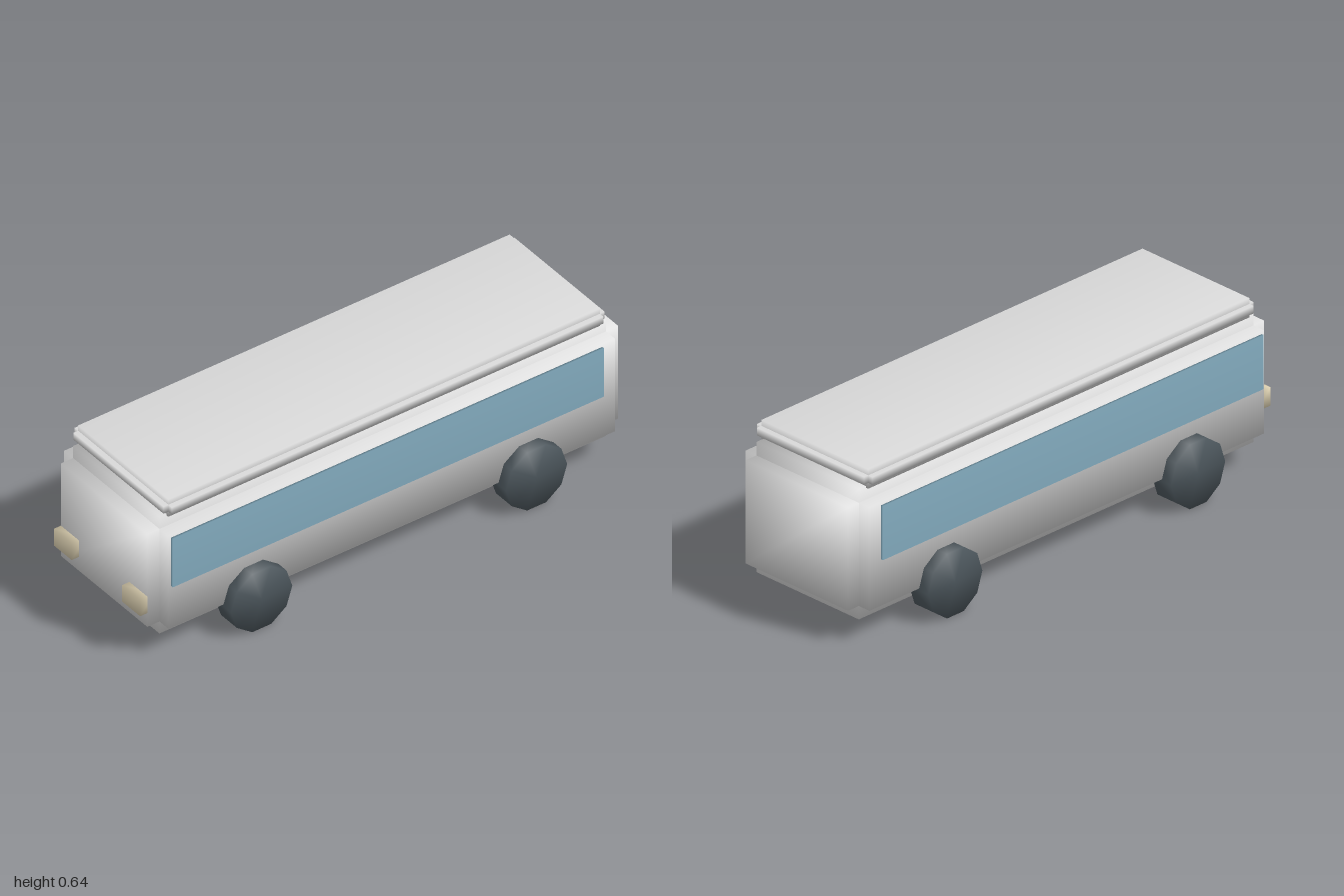
import * as THREE from 'three';
import { mergeVertices } from 'three/addons/utils/BufferGeometryUtils.js';

const paint = new THREE.MeshStandardMaterial({ color: 0xd9d9d9 });
paint.name = 'body paint';
const glass = new THREE.MeshStandardMaterial({ color: 0x82aabd });
glass.name = 'window glass';
const rubber = new THREE.MeshStandardMaterial({ color: 0x4a545a });
rubber.name = 'tyre rubber';
const lamp = new THREE.MeshStandardMaterial({ color: 0xdbcfb0 });
lamp.name = 'lamp cream';

// Weld corners so that normals are smooth across every edge
function soften(geometry) {
  geometry.deleteAttribute('uv');
  geometry.deleteAttribute('normal');
  const welded = mergeVertices(geometry);
  welded.computeVertexNormals();
  return welded;
}

// Box given by its limits on each axis
function box(name, material, [x0, x1], [y0, y1], [z0, z1]) {
  const mesh = new THREE.Mesh(soften(new THREE.BoxGeometry(x1 - x0, y1 - y0, z1 - z0)), material);
  mesh.position.set((x0 + x1) / 2, (y0 + y1) / 2, (z0 + z1) / 2);
  mesh.name = name;
  return mesh;
}

// Three crossing boxes make a block with stepped edges
function steppedBlock(name, material, halfX, [y0, y1], [z0, z1], sx, sy, sz) {
  const group = new THREE.Group();
  group.name = name;
  const xIn = [-halfX + sx, halfX - sx], yIn = [y0 + sy, y1 - sy], zIn = [z0 + sz, z1 - sz];
  group.add(
    box(name + 'Sides', material, [-halfX, halfX], yIn, zIn),
    box(name + 'TopAndBottom', material, xIn, [y0, y1], zIn),
    box(name + 'Ends', material, xIn, yIn, [z0, z1])
  );
  return group;
}

export function createModel() {
  const model = new THREE.Group();
  model.name = 'bus';

  // Body and roof
  model.add(steppedBlock('body', paint, 0.297, [0.077, 0.57], [-1, 0.97], 0.051, 0.051, 0.051));
  model.add(steppedBlock('roof', paint, 0.277, [0.564, 0.637], [-0.935, 0.91], 0.02, 0.022, 0.02));

  const wheelGeometry = soften(new THREE.CylinderGeometry(0.128, 0.128, 0.091, 10).rotateZ(Math.PI / 2));

  for (const side of [1, -1]) {
    const label = side > 0 ? 'left' : 'right';
    const span = (a, b) => (side > 0 ? [a, b] : [-b, -a]);

    // Side window band and headlight
    model.add(box(label + 'Window', glass, span(0.298, 0.307), [0.304, 0.509], [-0.895, 0.908]));
    model.add(box(label + 'Headlight', lamp, span(0.144, 0.246), [0.186, 0.256], [0.94, 1]));

    // Ten-sided wheels
    for (const [end, z] of [['Front', 0.5625], ['Rear', -0.5875]]) {
      const wheel = new THREE.Mesh(wheelGeometry, rubber);
      wheel.name = label + end + 'Wheel';
      wheel.position.set(side * 0.2975, 0.1217, z);
      model.add(wheel);
    }
  }
  return model;
}
